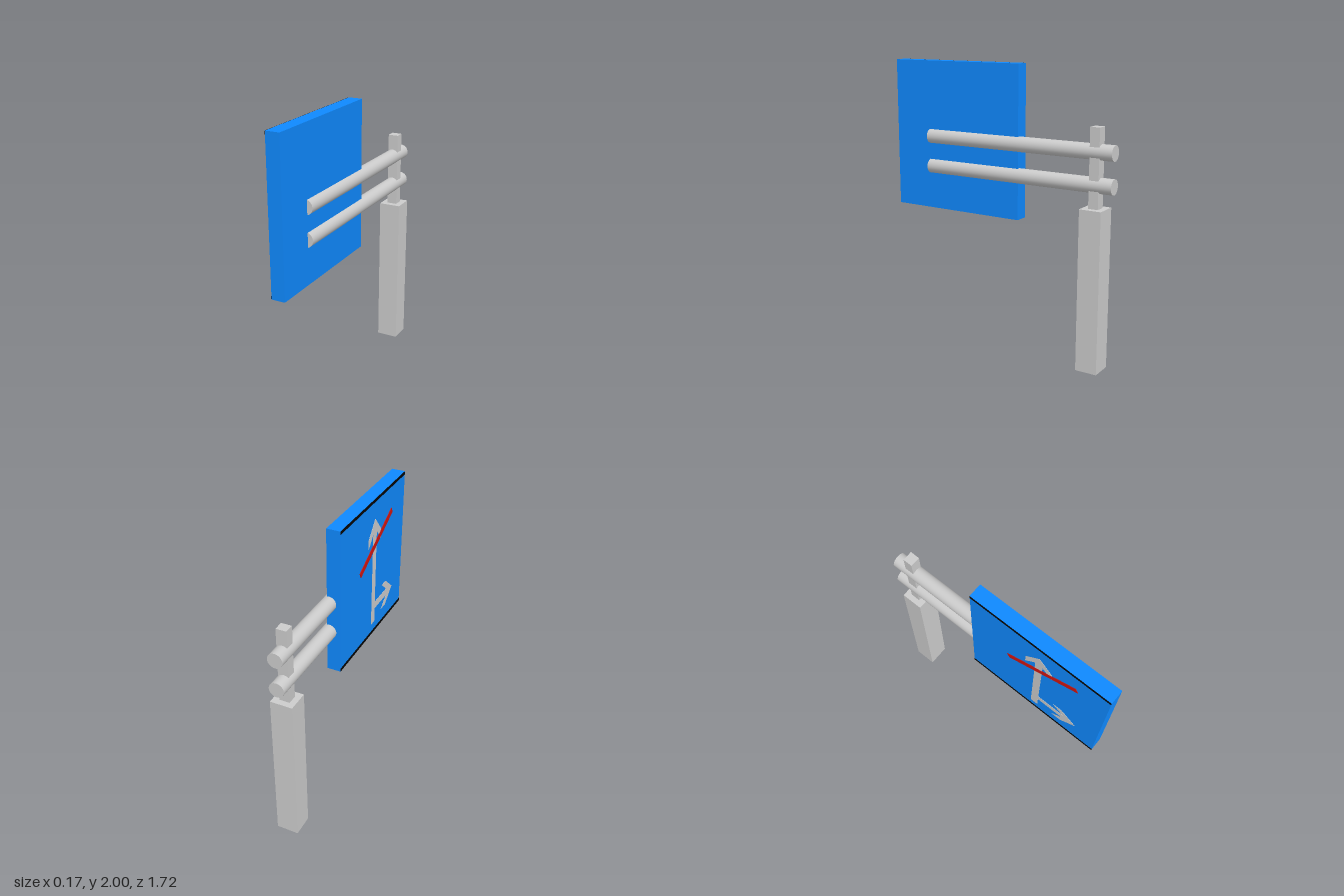
import * as THREE from 'three';

const GREY = 0xcccccc, BLUE = 0x0f89fe, RED = 0xd01510, BLACK = 0x050505;
const material = (color) => new THREE.MeshStandardMaterial({ color });

function add(parent, name, geometry, color = GREY) {
  const mesh = new THREE.Mesh(geometry, material(color));
  mesh.name = name;
  parent.add(mesh);
  return mesh;
}

// Box given by its minimum and maximum corners
function box(parent, name, min, max, color) {
  const size = max.map((v, i) => v - min[i]);
  const mesh = add(parent, name, new THREE.BoxGeometry(...size), color);
  mesh.position.set(...max.map((v, i) => (v + min[i]) / 2));
  return mesh;
}

// Open-headed arrow pointing up, tip at the origin
function arrowGeometry(length, depth) {
  const w = 0.027, s = 0.1, drop = 0.115, t = 0.07;
  const inner = (w / s) * drop + t;
  const half = [[s, -drop], [s, -drop - t], [w, -inner], [w, -length]];
  const points = [[0, 0], ...half, ...half.map(([x, y]) => [-x, y]).reverse()];
  const shape = new THREE.Shape(points.map(([x, y]) => new THREE.Vector2(x, y)));
  return new THREE.ExtrudeGeometry(shape, { depth, bevelEnabled: false });
}

export function createModel() {
  const model = new THREE.Group();
  model.name = 'roadSign';

  // Post: thick base and slim upper part
  box(model, 'postBase', [-0.07, 0, -0.81], [0.085, 1.105, -0.657]);
  box(model, 'postTop', [-0.03, 1.105, -0.768], [0.042, 1.63, -0.7]);

  // Two round arms carrying the board
  for (const [name, y] of [['upperArm', 1.47], ['lowerArm', 1.255]]) {
    const arm = add(model, name, new THREE.CylinderGeometry(0.052, 0.052, 1.435, 32));
    arm.rotation.x = Math.PI / 2;
    arm.position.set(0.003, y, -0.1425);
  }

  // Sign board
  box(model, 'board', [-0.078, 0.95, -0.16], [0.018, 2, 0.86], BLUE);

  // Markings on the -x face: local x runs along +z, local z points outward
  const markings = new THREE.Group();
  markings.name = 'markings';
  markings.rotation.y = -Math.PI / 2;
  markings.position.x = 0.078;
  markings.position.x *= -1;
  model.add(markings);

  box(markings, 'topStrip', [-0.16, 1.978, 0], [0.86, 2, 0.002], BLACK);
  box(markings, 'bottomStrip', [-0.16, 0.95, 0], [0.86, 0.972, 0.002], BLACK);

  const straight = add(markings, 'straightArrow', arrowGeometry(0.82, 0.002));
  straight.position.set(0.365, 1.855, 0);

  const branch = add(markings, 'branchArrow', arrowGeometry(0.31, 0.002));
  branch.rotation.z = -Math.PI / 2;
  branch.position.set(0.695, 1.17, 0);

  // Slanted red bar across the straight arrow
  const bar = add(markings, 'redBar', new THREE.BoxGeometry(0.57, 0.042, 0.004), RED);
  bar.rotation.z = Math.atan2(0.26, 0.5);
  bar.position.set(0.39, 1.67, 0.002);

  return model;
}
